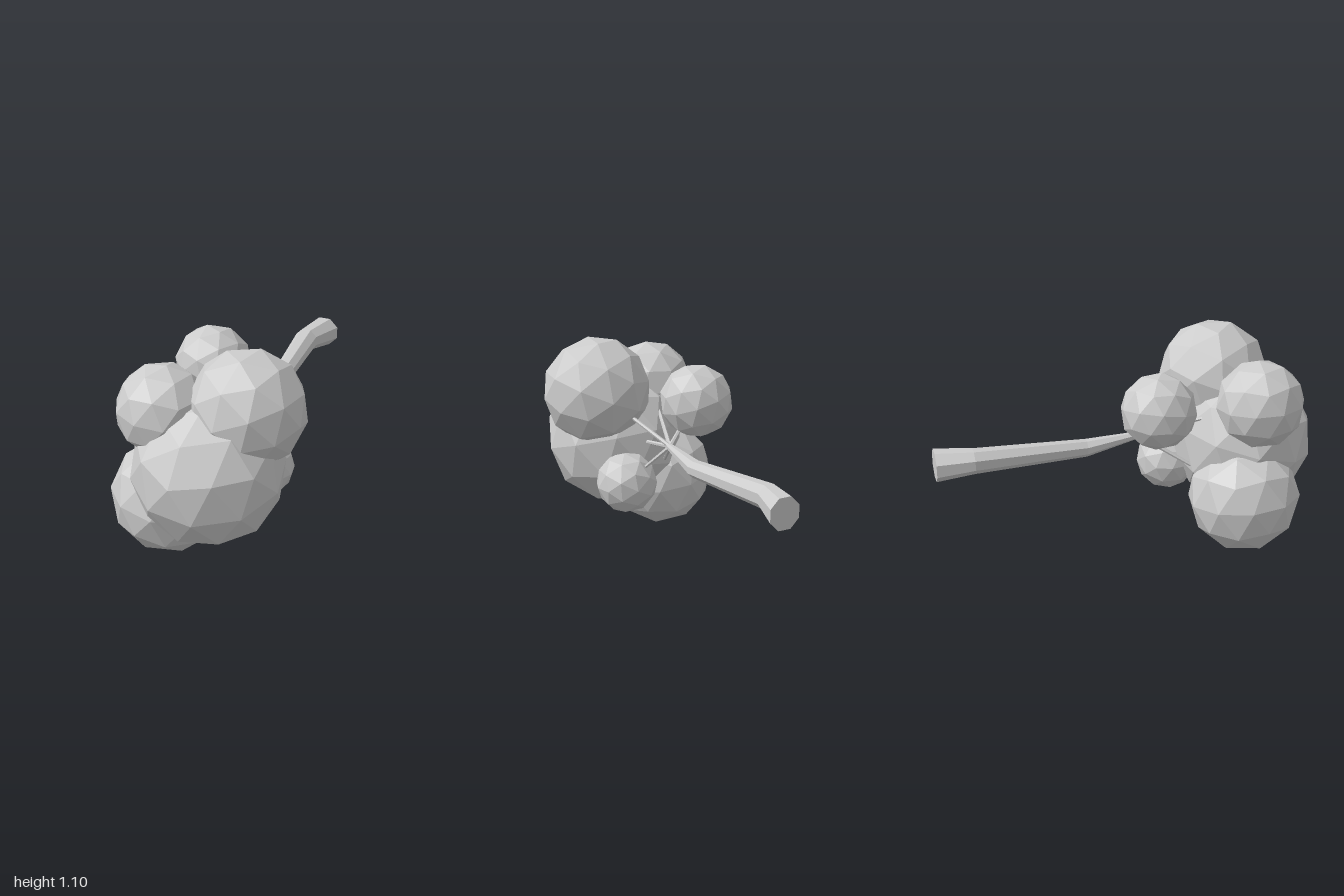
import * as THREE from 'three';

export function createModel() {
  const root = new THREE.Group();
  root.name = 'berryCluster';
  const material = new THREE.MeshStandardMaterial({ color: 0xcccccc, flatShading: true });
  const add = (geometry, name) => {
    const mesh = new THREE.Mesh(geometry, material);
    mesh.name = name;
    root.add(mesh);
    return mesh;
  };

  // Berries: name, centre, radius, rotation
  const berries = [
    ['frontBerry', [0.045, 0.51, 0.63], 0.375, [0.3, 0.2, 0.5]],
    ['upperLeftBerry', [0.2, 0.81, 0.522], 0.292, [0.9, 0.4, 0.1]],
    ['upperRightBerry', [-0.185, 0.785, 0.64], 0.228, [0.2, 1.1, 0.3]],
    ['lowerRightBerry', [-0.2, 0.28, 0.565], 0.293, [0.6, 0.3, 1.2]],
    ['backBerry', [-0.17, 0.805, 0.105], 0.194, [0.4, 0.7, 0.2]],
    ['lowerLeftBerry', [0.165, 0.365, 0.258], 0.163, [1.0, 0.2, 0.6]],
  ];
  for (const [name, centre, radius, rotation] of berries) {
    const berry = add(new THREE.IcosahedronGeometry(radius, 1), name);
    berry.position.set(...centre);
    berry.rotation.set(...rotation);
  }

  // Main stem: eight-sided rings of x, y, z, radius, closed at both ends
  const rings = [
    [0.015, 0.57, -1, 0.085],
    [-0.023, 0.585, -0.81, 0.065],
    [0.025, 0.555, -0.22, 0.046],
    [0.018, 0.597, 0.07, 0.017],
  ];
  const sides = 8, positions = [], index = [];
  for (const [x, y, z, r] of rings) {
    for (let i = 0; i < sides; i++) {
      const a = ((i + 0.5) / sides) * Math.PI * 2;
      positions.push(x + r * Math.cos(a), y + r * Math.sin(a), z);
    }
  }
  for (let k = 0; k < rings.length - 1; k++) {
    for (let i = 0; i < sides; i++) {
      const a = k * sides + i, b = k * sides + ((i + 1) % sides);
      index.push(a, b, b + sides, a, b + sides, a + sides);
    }
  }
  const last = (rings.length - 1) * sides;
  for (let i = 1; i < sides - 1; i++) {
    index.push(0, i + 1, i, last, last + i, last + i + 1);
  }
  const stem = new THREE.BufferGeometry();
  stem.setAttribute('position', new THREE.Float32BufferAttribute(positions, 3));
  stem.setIndex(index);
  stem.computeVertexNormals();
  add(stem, 'stem');

  // Thin stalks from the stem tip into each berry
  const tip = new THREE.Vector3(0.018, 0.597, 0.05);
  const up = new THREE.Vector3(0, 1, 0);
  for (const [name, centre] of berries) {
    const dir = new THREE.Vector3(...centre).sub(tip);
    const length = dir.length();
    const stalk = add(new THREE.CylinderGeometry(0.007, 0.012, length, 6), name + 'Stalk');
    stalk.position.copy(tip).addScaledVector(dir, 0.5);
    stalk.quaternion.setFromUnitVectors(up, dir.normalize());
  }
  return root;
}
